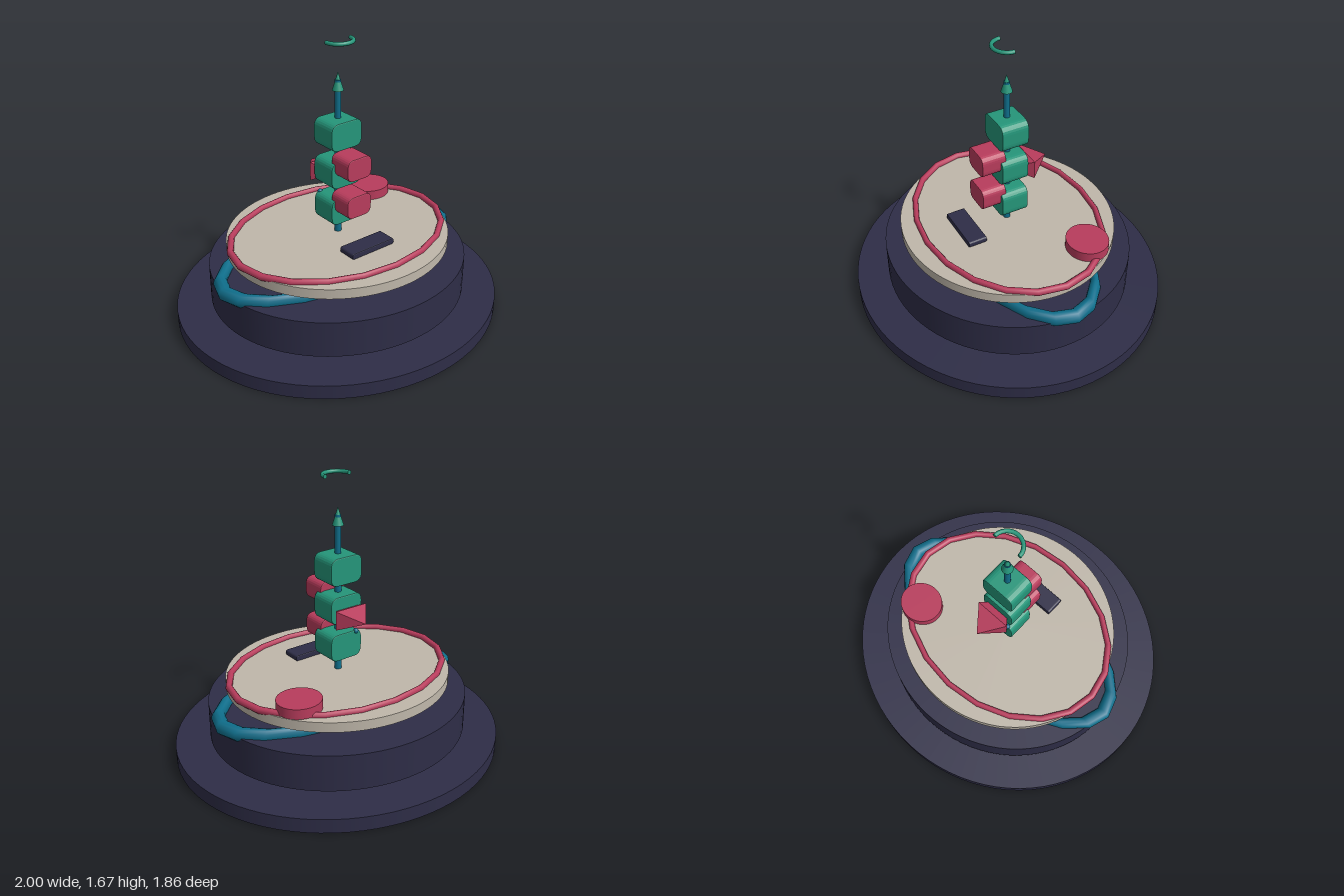
import * as THREE from 'three';

const mat = (name, color) => {
  const m = new THREE.MeshStandardMaterial({ color });
  m.name = name;
  return m;
};

export function createModel() {
  const model = new THREE.Group();
  model.name = 'tieredTotem';
  const navy = mat('navy', 0x2e2d47);
  const teal = mat('teal', 0x0f6f8c);
  const stone = mat('stone', 0xbfb7aa);
  const red = mat('crimson', 0xb83c5c);
  const green = mat('green', 0x25967a);

  const add = (name, geometry, material, x = 0, y = 0, z = 0) => {
    const mesh = new THREE.Mesh(geometry, material);
    mesh.name = name;
    mesh.position.set(x, y, z);
    model.add(mesh);
    return mesh;
  };

  // Oval disc between two heights
  const disc = (name, material, rx, rz, y0, y1, x = 0, z = 0) => {
    const g = new THREE.CylinderGeometry(1, 1, y1 - y0, 80).scale(rx, 1, rz);
    return add(name, g, material, x, (y0 + y1) / 2, z);
  };

  // Oval ring lying flat, sized by its outer edge
  const ring = (name, material, rx, rz, tube, y) => {
    const g = new THREE.TorusGeometry(rx - tube, tube, 12, 20);
    g.rotateX(Math.PI / 2).scale(1, 1, rz / rx);
    return add(name, g, material, 0, y, 0);
  };

  // Block with rounded outline facing front and a fine bevel
  const block = (name, material, w, h, d, r, y, z) => {
    const b = 0.006, x = w / 2 - b, t = h / 2 - b;
    const s = new THREE.Shape();
    s.moveTo(-x + r, -t).lineTo(x - r, -t);
    s.quadraticCurveTo(x, -t, x, -t + r).lineTo(x, t - r);
    s.quadraticCurveTo(x, t, x - r, t).lineTo(-x + r, t);
    s.quadraticCurveTo(-x, t, -x, t - r).lineTo(-x, -t + r);
    s.quadraticCurveTo(-x, -t, -x + r, -t);
    const g = new THREE.ExtrudeGeometry(s, {
      depth: d - 2 * b, bevelSize: b, bevelThickness: b, bevelSegments: 2, curveSegments: 6,
    });
    g.translate(0, 0, -d / 2 + b);
    return add(name, g, material, 0, y, z);
  };

  // Stacked base
  disc('baseDisc', navy, 1, 0.928, 0, 0.085);
  disc('drum', navy, 0.79, 0.735, 0.12, 0.34);
  ring('lowerRing', teal, 0.84, 0.41, 0.043, 0.35);
  disc('platter', stone, 0.68, 0.635, 0.42, 0.48);
  ring('upperRing', red, 0.71, 0.543, 0.021, 0.485);

  // Items on the platter
  disc('button', red, 0.132, 0.123, 0.485, 0.545, 0.47, -0.274);
  block('floorPlate', navy, 0.308, 0.037, 0.117, 0.008, 0.498, 0.272);

  // Pole with pointed tip
  add('pole', new THREE.CylinderGeometry(0.018, 0.021, 0.95, 20), teal, 0, 0.955, 0);
  add('poleTip', new THREE.ConeGeometry(0.033, 0.107, 20), green, 0, 1.422, 0);

  // Blocks threaded on the pole
  for (const y of [0.655, 0.888, 1.121]) block('poleBlock', green, 0.218, 0.167, 0.168, 0.045, y, 0);
  for (const y of [0.721, 0.956]) block('frontBlock', red, 0.174, 0.135, 0.15, 0.04, y, 0.125);

  // Four-sided double point behind the middle block
  for (const dir of [-1, 1]) {
    const g = new THREE.ConeGeometry(Math.SQRT2, 0.135, 4, 1, false, Math.PI / 4).toNonIndexed();
    g.computeVertexNormals();
    g.scale(0.108, 1, 0.057).translate(0, 0.0675, 0).rotateX(dir * Math.PI / 2);
    add('backPoint', g, red, 0, 0.853, -0.125);
  }

  // Small stud on the back of the lowest block
  add('stud', new THREE.SphereGeometry(0.016, 14, 10), teal, -0.072, 0.73, -0.078);

  // Half ring floating above the tip
  const arc = new THREE.TorusGeometry(0.083, 0.012, 10, 12, Math.PI).rotateX(Math.PI / 2);
  arc.name = 'arc';
  const halo = add('halfHalo', arc, green, 0.003, 1.655, 0);
  // Closed ends of the half ring
  for (const s of [-1, 1]) {
    const cap = new THREE.Mesh(new THREE.CircleGeometry(0.012, 10).rotateY(Math.PI), green);
    cap.name = 'haloEnd';
    cap.position.x = s * 0.083;
    halo.add(cap);
  }
  return model;
}
